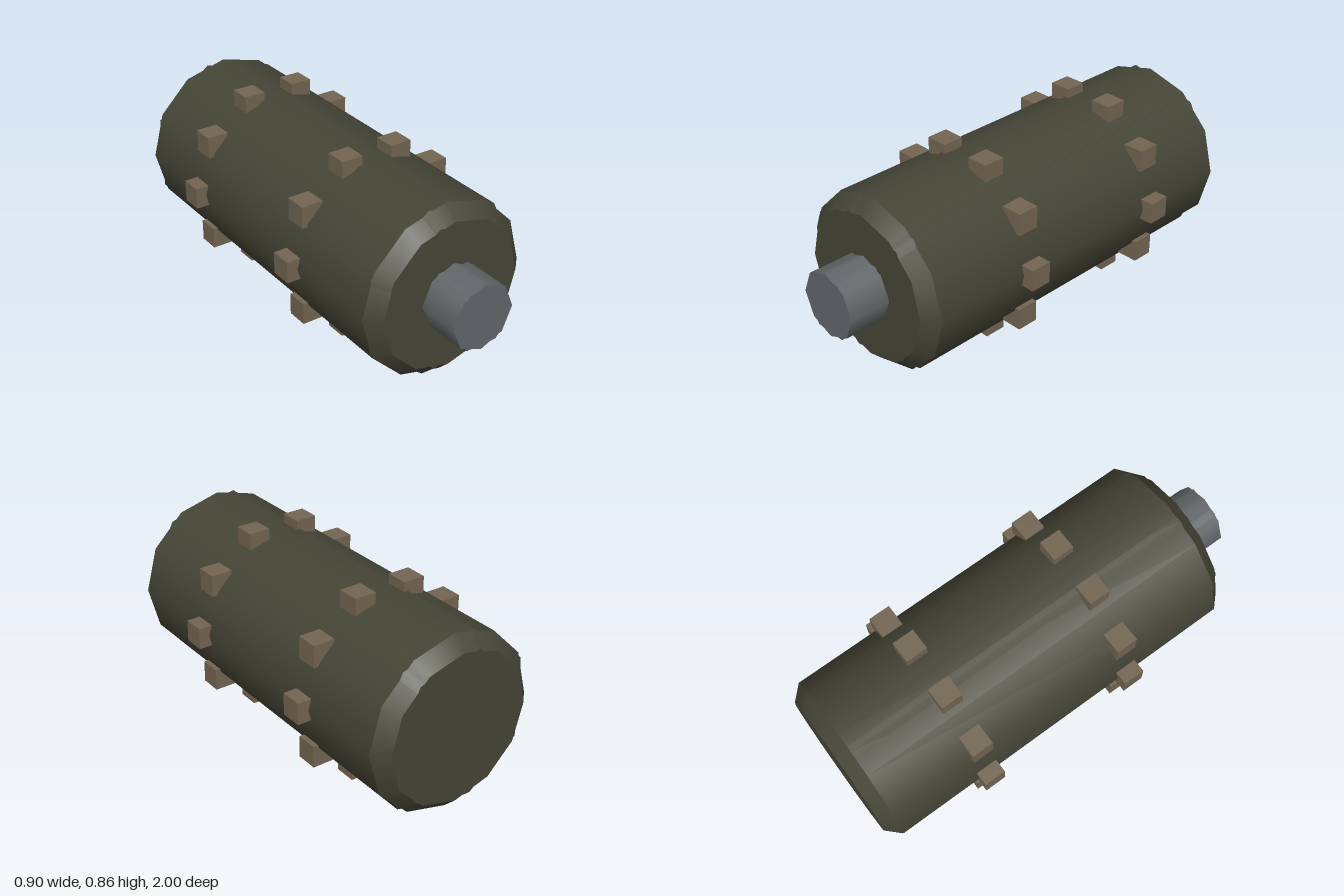
import * as THREE from 'three';

const AXIS_Y = 0.43;

export function createModel() {
  const model = new THREE.Group();
  model.name = 'studdedDrum';

  const drumPaint = new THREE.MeshStandardMaterial({ color: 0x454537 });
  drumPaint.name = 'dark olive';
  const studPaint = new THREE.MeshStandardMaterial({ color: 0x736552 });
  studPaint.name = 'brown';
  const shaftPaint = new THREE.MeshStandardMaterial({ color: 0x636769 });
  shaftPaint.name = 'steel grey';

  // Prism or cone section along z, with one corner pointing to +x
  function section(name, material, sides, z0, z1, r0, r1, open) {
    const geometry = new THREE.CylinderGeometry(r1, r0, z1 - z0, sides, 1, open, Math.PI / 2);
    geometry.rotateX(Math.PI / 2);
    const mesh = new THREE.Mesh(geometry, material);
    mesh.name = name;
    mesh.position.set(0, AXIS_Y, (z0 + z1) / 2);
    model.add(mesh);
  }

  // Flat end disc, facing +z or -z
  function cap(name, material, sides, z, radius, back) {
    const mesh = new THREE.Mesh(new THREE.CircleGeometry(radius, sides, back ? Math.PI : 0), material);
    mesh.name = name;
    mesh.position.set(0, AXIS_Y, z);
    if (back) mesh.rotation.y = Math.PI;
    model.add(mesh);
  }

  // Drum: a 12-sided and a 7-sided shell overlap, leaving small ridges
  for (const sides of [12, 7]) {
    section('drumWall', drumPaint, sides, -0.94, 0.75, 0.4, 0.4, true);
    section('frontBevel', drumPaint, sides, 0.75, 0.81, 0.4, 0.34, true);
    section('backBevel', drumPaint, sides, -1, -0.94, 0.34, 0.4, true);
    cap('frontCap', drumPaint, sides, 0.81, 0.34, false);
    cap('backCap', drumPaint, sides, -1, 0.34, true);
  }

  // Shaft: overlapping 8-sided and 6-sided prisms
  for (const sides of [8, 6]) {
    section('shaft', shaftPaint, sides, 0.8, 1, 0.15, 0.15, false);
  }

  // Two rings of upright square studs
  const studGeometry = new THREE.BoxGeometry(0.1, 0.1, 0.1);
  for (const z of [0.25, -0.5]) {
    const ring = new THREE.Group();
    ring.name = z > 0 ? 'frontStudRing' : 'backStudRing';
    ring.position.set(0, AXIS_Y, z);
    for (let i = 0; i < 10; i++) {
      const angle = (i / 10) * Math.PI * 2;
      const stud = new THREE.Mesh(studGeometry, studPaint);
      stud.name = 'stud';
      stud.position.set(Math.cos(angle) * 0.4, Math.sin(angle) * 0.4, 0);
      ring.add(stud);
    }
    model.add(ring);
  }

  return model;
}
